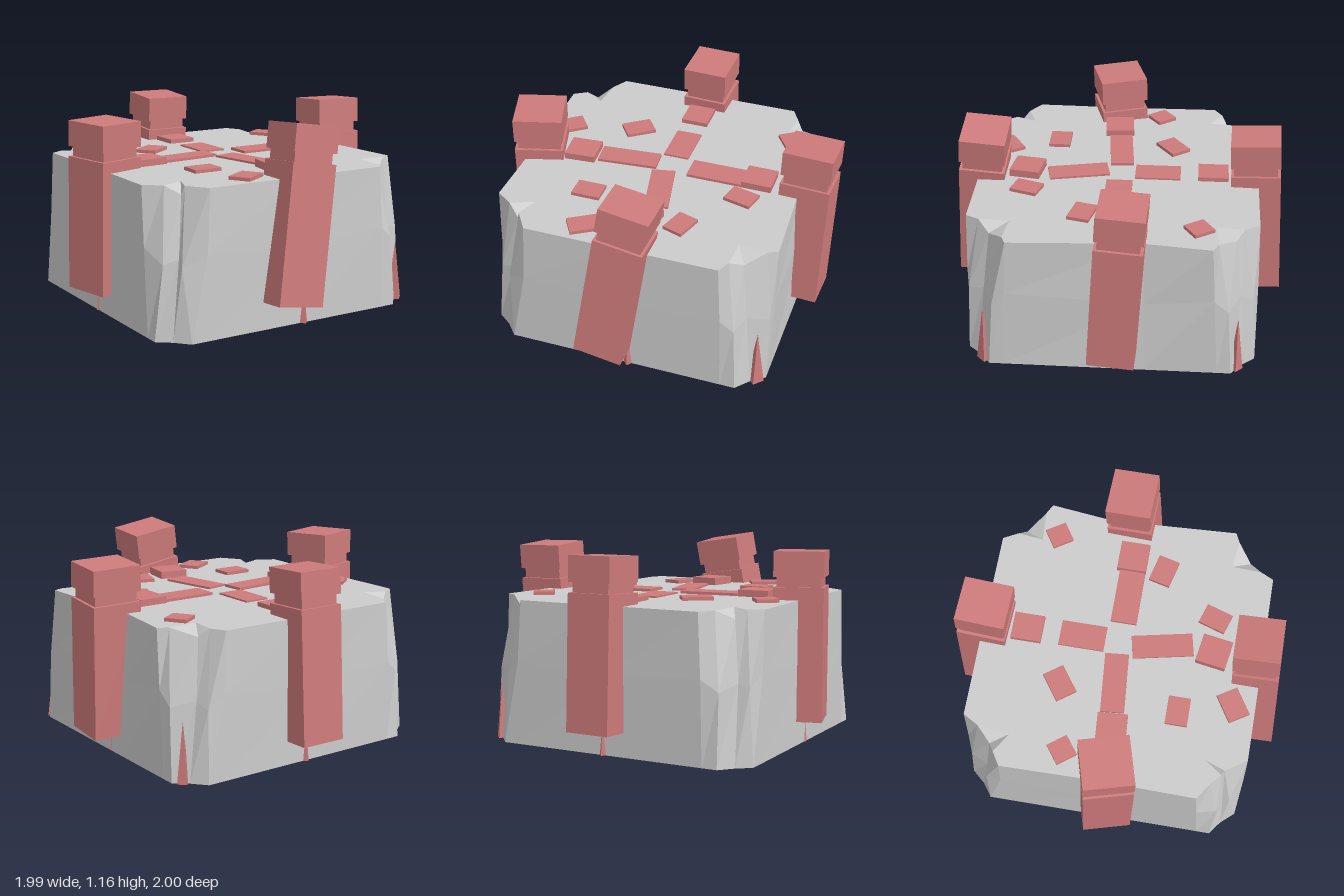
import * as THREE from 'three';

const stone = new THREE.MeshStandardMaterial({ color: 0xcccccc, flatShading: true, side: THREE.DoubleSide });
const brick = new THREE.MeshStandardMaterial({ color: 0xcd7a7a, flatShading: true });
const TOP = 0.84;

function box(parent, name, w, h, d, x, y, z) {
  const m = new THREE.Mesh(new THREE.BoxGeometry(w, h, d), brick);
  m.name = name;
  m.position.set(x, y, z);
  parent.add(m);
  return m;
}

// Chipped corner cross-sections, from the x side to the z side: [x, y, z]
const CORNER = [
  [[0.84, 0, 0.62], [0.84, 0, 0.70], [0.76, 0, 0.76], [0.69, 0, 0.84], [0.60, 0, 0.84]],
  [[0.84, 0.5, 0.59], [0.81, 0.42, 0.69], [0.72, 0.45, 0.72], [0.69, 0.41, 0.80], [0.59, 0.48, 0.84]],
  [[0.84, TOP, 0.57], [0.76, TOP, 0.62], [0.68, 0.79, 0.68], [0.63, TOP, 0.73], [0.57, TOP, 0.83]],
  [[0.84, TOP, 0.57], [0.76, TOP, 0.62], [0.62, TOP, 0.57], [0.63, TOP, 0.73], [0.57, TOP, 0.83]],
];
// Middle of each side, for the front, left, back and right: [x, z, inset at the top]
const SIDES = [[0, 0.84, 0.01], [-0.84, 0, 0.01], [0, -0.84, 0.01], [0.84, -0.2, 0.05]];
const QUADRANTS = [[1, 1], [-1, 1], [-1, -1], [1, -1]];

// Open-bottomed rock shell with a flat top
function rock() {
  const rings = CORNER.map((row, level) => {
    const ring = [];
    QUADRANTS.forEach(([sx, sz], q) => {
      const pts = row.map(([x, y, z], i) => {
        const shift = i > 0 && i < 4 ? 0.025 * Math.sin(q * 2.3 + i * 1.7) * Math.min(level, 1) : 0;
        return [sx * (x + shift) - 0.02, y, sz * (z - shift)];
      });
      ring.push(...(q % 2 ? pts.reverse() : pts));
      const [mx, mz, inset] = SIDES[q];
      const k = 1 - inset * Math.min(level, 2) / 2;
      ring.push([mx * k - 0.02, [0, 0.45, TOP, TOP][level], mz * k]);
    });
    return ring;
  });
  const n = rings[0].length, pos = rings.flat(2), index = [];
  pos.push(0, TOP, 0);
  for (let i = 0; i < n; i++) {
    const j = (i + 1) % n;
    for (let r = 0; r < 3; r++) {
      const a = r * n + i, b = r * n + j;
      index.push(a, a + n, b, b, a + n, b + n);
    }
    index.push(4 * n, 3 * n + j, 3 * n + i);
  }
  const g = new THREE.BufferGeometry();
  g.setAttribute('position', new THREE.Float32BufferAttribute(pos, 3));
  g.setIndex(index);
  const flat = g.toNonIndexed();
  flat.computeVertexNormals();
  const m = new THREE.Mesh(flat, stone);
  m.name = 'rock';
  return m;
}

// Leaning pillar: shaft, recessed neck and cap
function pillar(name, from, to, w, d, yaw) {
  const g = new THREE.Group();
  g.name = name;
  const a = new THREE.Vector3(...from), axis = new THREE.Vector3(...to).sub(a);
  const h = axis.length();
  box(g, 'shaft', w, 0.79 * h, d, 0, 0.395 * h, 0);
  box(g, 'neck', w - 0.035, 0.07 * h, d - 0.035, 0, 0.82 * h, 0);
  box(g, 'cap', w, 0.15 * h, d, 0, 0.925 * h, 0);
  g.position.copy(a);
  g.quaternion.setFromUnitVectors(new THREE.Vector3(0, 1, 0), axis.normalize());
  g.rotateY(THREE.MathUtils.degToRad(yaw));
  return g;
}

export function createModel() {
  const model = new THREE.Group();
  model.name = 'rockPlatform';
  model.add(rock());

  model.add(
    pillar('frontPillar', [-0.11, 0.14, 0.865], [0.045, 1.125, 0.785], 0.29, 0.27, 0),
    pillar('backPillar', [0, 0.14, -0.855], [0.005, 1.115, -0.805], 0.27, 0.29, -2),
    pillar('leftPillar', [0.82, 0.125, -0.02], [0.84, 1.115, -0.08], 0.295, 0.27, -2),
    pillar('rightPillar', [-0.82, 0.135, 0.025], [-0.81, 1.115, 0.05], 0.29, 0.29, 16),
  );

  // Paving: [name, x, z, width, depth, yaw, top, thickness]
  const paving = [
    ['pathSlab', 0.29, -0.012, 0.34, 0.155, 0, 0.856, 0.06],
    ['pathSlab', -0.26, 0, 0.36, 0.14, 5, 0.856, 0.06],
    ['pathSlab', 0, -0.235, 0.155, 0.27, 0, 0.85, 0.06],
    ['pathSlab', 0.015, 0.24, 0.14, 0.36, 12, 0.852, 0.06],
    ['pathBlock', 0.545, -0.02, 0.18, 0.175, 0, 0.88, 0.17],
    ['pathBlock', -0.545, 0.03, 0.185, 0.175, 4, 0.88, 0.17],
    ['pathBlock', -0.005, -0.565, 0.165, 0.18, 0, 0.866, 0.17],
    ['pathBlock', 0.02, 0.545, 0.175, 0.18, -9, 0.885, 0.17],
    ['looseTile', -0.315, -0.315, 0.18, 0.13, 36, 0.86, 0.04],
    ['looseTile', -0.71, -0.23, 0.13, 0.13, 37, 0.86, 0.04],
    ['looseTile', 0.62, -0.49, 0.125, 0.13, 33, 0.86, 0.04],
    ['looseTile', 0.49, 0.175, 0.17, 0.13, -14, 0.86, 0.04],
    ['looseTile', -0.37, 0.39, 0.17, 0.13, 0, 0.86, 0.04],
    ['looseTile', -0.28, 0.7, 0.175, 0.13, 32, 0.86, 0.04],
    ['looseTile', 0.235, 0.525, 0.125, 0.165, -18, 0.86, 0.04],
  ];
  for (const [name, x, z, w, d, yaw, top, t] of paving) {
    box(model, name, w, t, d, x, top - t / 2, z).rotation.y = THREE.MathUtils.degToRad(yaw);
  }

  // Narrow wedges showing through the foot of the walls: [x, z, radius]
  const wedges = [[0.02, 0.82, 0.045], [0, -0.82, 0.04], [0.8, -0.06, 0.025], [-0.84, 0.02, 0.03],
    [0.765, 0.73, 0.05], [0.765, -0.73, 0.04]];
  for (const [x, z, r] of wedges) {
    const m = new THREE.Mesh(new THREE.ConeGeometry(r, 0.35, 4), brick);
    m.name = 'wallWedge';
    m.position.set(x, 0.175, z);
    model.add(m);
  }
  return model;
}
